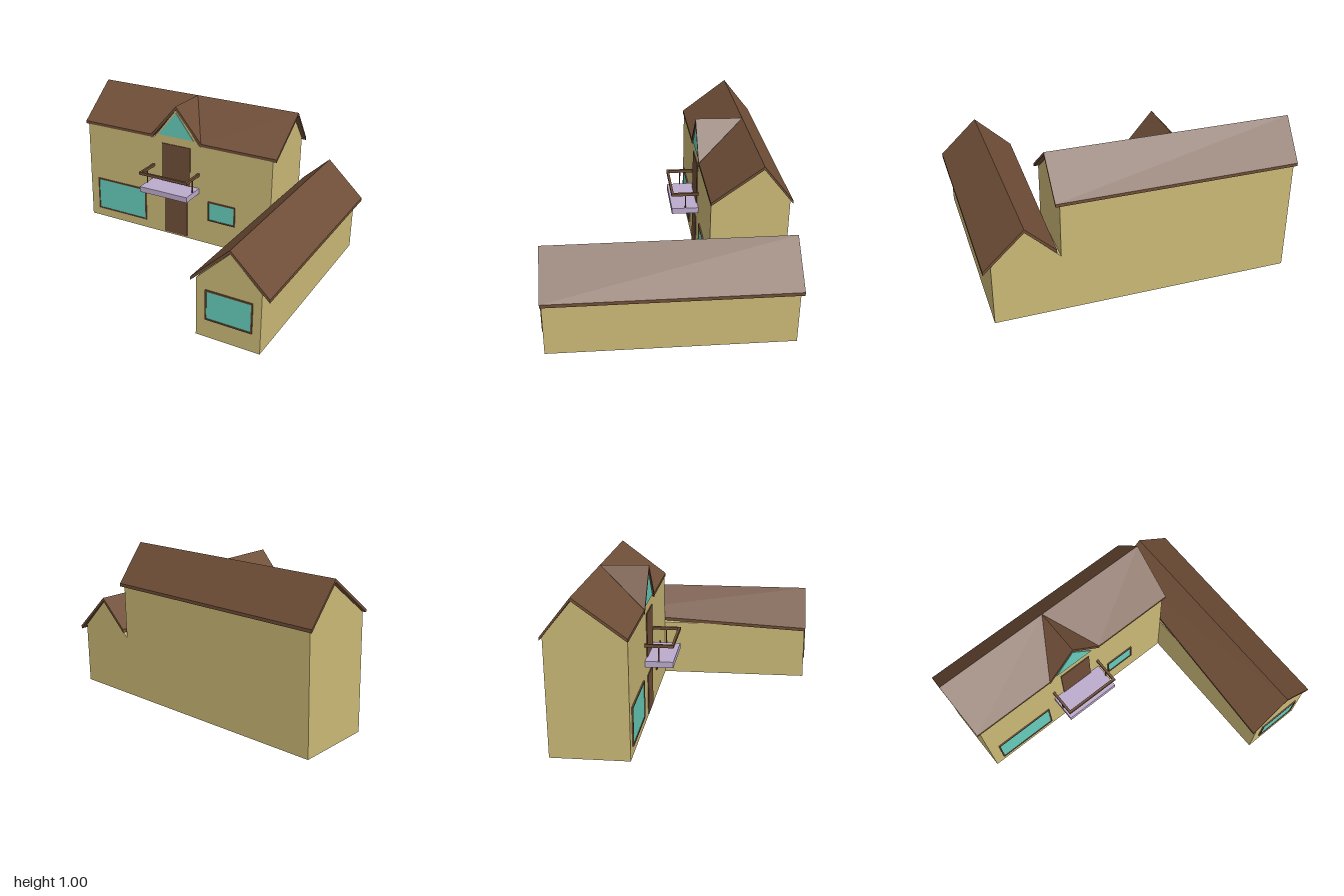
import * as THREE from 'three';

const colour = (name, color) => Object.assign(new THREE.MeshStandardMaterial({ color }), { name });

export function createModel() {
  const house = new THREE.Group();
  house.name = 'house';
  const wall = colour('tan wall', 0xcbb977);
  const brown = colour('brown wood', 0x6f4e37);
  const glass = colour('turquoise glass', 0x66ccbb);
  const lilac = colour('lilac stone', 0xbcabcd);

  const add = (name, geometry, material, parent = house) => {
    const mesh = new THREE.Mesh(geometry, material);
    mesh.name = name;
    parent.add(mesh);
    return mesh;
  };

  // Box given by its extents on each axis
  const box = (name, [x0, x1], [y0, y1], [z0, z1], material, parent) => {
    const g = new THREE.BoxGeometry(x1 - x0, y1 - y0, z1 - z0);
    g.translate((x0 + x1) / 2, (y0 + y1) / 2, (z0 + z1) / 2);
    return add(name, g, material, parent);
  };

  const polygon = (points) => new THREE.Shape(points.map(([x, y]) => new THREE.Vector2(x, y)));
  const prism = (shape, depth) => new THREE.ExtrudeGeometry(shape, { depth, bevelEnabled: false });

  // Roof slab: a flat outline dropped straight down by its thickness
  const slab = (name, top, drop, parent) => {
    const area = top.reduce((sum, [x, , z], i) => {
      const [x2, , z2] = top[(i + 1) % top.length];
      return sum + z * x2 - x * z2;
    }, 0);
    const up = area > 0 ? top : [...top].reverse();
    const down = up.map(([x, y, z]) => [x, y - drop, z]);
    const pos = [];
    const n = up.length;
    for (let i = 1; i < n - 1; i++) {
      pos.push(...up[0], ...up[i], ...up[i + 1]);
      pos.push(...down[0], ...down[i + 1], ...down[i]);
    }
    for (let i = 0; i < n; i++) {
      const j = (i + 1) % n;
      pos.push(...up[i], ...down[i], ...down[j], ...up[i], ...down[j], ...up[j]);
    }
    const g = new THREE.BufferGeometry();
    g.setAttribute('position', new THREE.Float32BufferAttribute(pos, 3));
    g.computeVertexNormals();
    return add(name, g, brown, parent);
  };

  // Main block, its gabled section running along x
  const mainWalls = prism(polygon([[0.27, 0], [0.76, 0], [0.76, 0.752], [0.58, 0.972], [0.27, 0.74]]), 1.5);
  mainWalls.rotateY(Math.PI / 2).translate(-0.97, 0, 0);
  add('mainWalls', mainWalls, wall);

  // Front wing, its gabled section running along z
  const wingWalls = prism(polygon([[0.53, 0], [0.95, 0], [0.95, 0.4], [0.745, 0.6], [0.53, 0.39]]), 1.525);
  wingWalls.translate(0, 0, -0.76);
  add('wingWalls', wingWalls, wall);

  // Main roof, with the front slope split around the dormer
  const mid = -0.215;
  const ridge = (x) => [x, 0.995, -0.58];
  const front = (x) => [x, 0.76, -0.265];
  const back = (x) => [x, 0.755, -0.772];
  slab('mainRoofBack', [ridge(-1), ridge(0.567), back(0.558), back(-0.99)], 0.02);
  slab('mainRoofFrontRight', [ridge(-1), ridge(mid), front(-0.41), front(-0.99)], 0.02);
  slab('mainRoofFrontLeft', [ridge(mid), ridge(0.567), front(0.558), front(-0.02)], 0.02);

  // Dormer gable above the balcony
  const gable = prism(polygon([[-0.4, 0.739], [-0.03, 0.739], [mid, 0.975]]), 0.06);
  gable.translate(0, 0, -0.33);
  add('dormerWall', gable, wall);
  for (const [name, s] of [['dormerRoofRight', -1], ['dormerRoofLeft', 1]]) {
    slab(name, [[mid, 1, -0.262], [mid, 0.995, -0.58], [mid + s * 0.203, 0.762, -0.262]], 0.028);
  }
  const dormerPane = prism(polygon([[-0.36, 0.77], [-0.075, 0.77], [mid, 0.952]]), 0.004);
  dormerPane.translate(0, 0, -0.27);
  add('dormerWindow', dormerPane, glass);

  // Wing roof; the inner eave narrows towards the back
  const wingFront = 0.77, wingBack = -0.77;
  slab('wingRoofLeft', [[0.745, 0.625, wingFront], [0.745, 0.625, wingBack],
    [1, 0.385, wingBack], [1, 0.385, wingFront]], 0.022);
  slab('wingRoofRight', [[0.745, 0.625, wingFront], [0.745, 0.625, wingBack],
    [0.556, 0.445, wingBack], [0.493, 0.385, wingFront]], 0.022);

  // Framed windows
  const addWindow = (name, [x0, x1], [y0, y1], z) => {
    const group = new THREE.Group();
    group.name = name;
    house.add(group);
    const t = 0.009;
    const outline = polygon([[x0, y0], [x1, y0], [x1, y1], [x0, y1]]);
    outline.holes.push(polygon([[x0 + t, y0 + t], [x0 + t, y1 - t], [x1 - t, y1 - t], [x1 - t, y0 + t]]));
    add('windowFrame', prism(outline, 0.009).translate(0, 0, z), brown, group);
    box('windowPane', [x0 + t, x1 - t], [y0 + t, y1 - t], [z, z + 0.004], glass, group);
  };
  addWindow('largeWindow', [-0.903, -0.473], [0.065, 0.315], -0.27);
  addWindow('smallWindow', [0.048, 0.262], [0.187, 0.336], -0.27);
  addWindow('wingWindow', [0.592, 0.897], [0.125, 0.326], 0.765);

  // Doors
  box('frontDoor', [-0.31, -0.123], [0.013, 0.287], [-0.27, -0.264], brown);
  box('balconyDoor', [-0.33, -0.1], [0.42, 0.71], [-0.27, -0.264], brown);

  // Balcony with a rail on three sides and a post on each side
  const balcony = new THREE.Group();
  balcony.name = 'balcony';
  house.add(balcony);
  box('balconyFloor', [-0.41, -0.027], [0.38, 0.42], [-0.27, -0.088], lilac, balcony);
  box('frontRail', [-0.412, -0.025], [0.514, 0.534], [-0.1, -0.084], brown, balcony);
  for (const x of [-0.412, -0.041]) {
    box('sideRail', [x, x + 0.016], [0.514, 0.534], [-0.27, -0.1], brown, balcony);
    box('railPost', [x + 0.005, x + 0.012], [0.42, 0.514], [-0.184, -0.177], brown, balcony);
  }

  return house;
}
